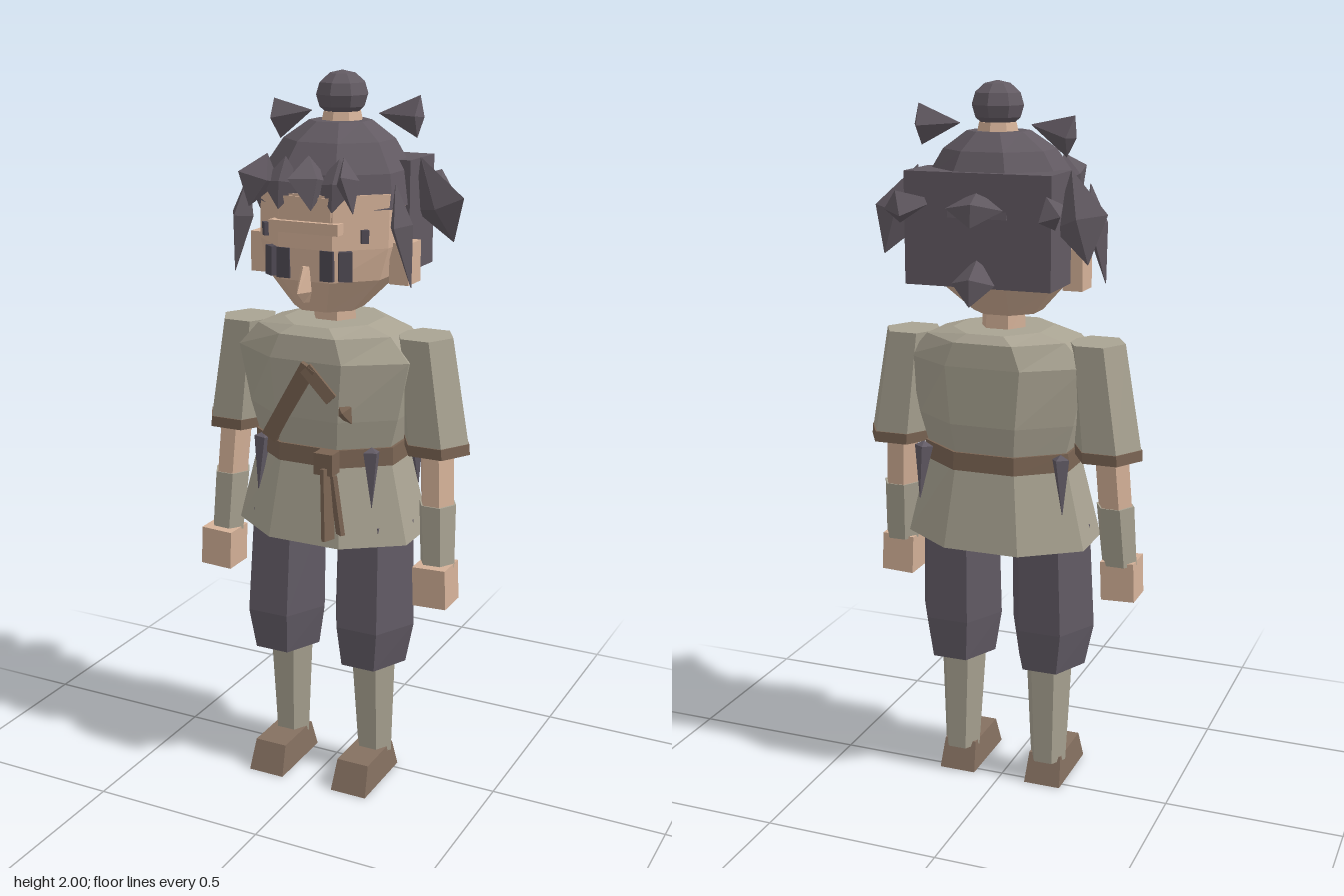
import * as THREE from 'three';

const mat = (name, color) => {
  const m = new THREE.MeshStandardMaterial({ color, flatShading: true });
  m.name = name;
  return m;
};

// Loft through rings of [cx, y, cz, halfX, halfZ]; 'offset' turns the polygon.
function loft(rings, sides, offset) {
  const pos = [], idx = [];
  const n = rings.length;
  for (const [cx, y, cz, rx, rz] of rings)
    for (let i = 0; i < sides; i++) {
      const a = offset + (i / sides) * Math.PI * 2;
      pos.push(cx + Math.sin(a) * rx, y, cz + Math.cos(a) * rz);
    }
  for (const r of [rings[0], rings[n - 1]]) pos.push(r[0], r[1], r[2]);
  for (let i = 0; i < sides; i++) {
    const j = (i + 1) % sides;
    for (let k = 0; k < n - 1; k++) {
      const lo = k * sides, up = lo + sides;
      idx.push(lo + i, lo + j, up + j, lo + i, up + j, up + i);
    }
    idx.push(n * sides, j, i);
    idx.push(n * sides + 1, (n - 1) * sides + i, (n - 1) * sides + j);
  }
  const g = new THREE.BufferGeometry();
  g.setAttribute('position', new THREE.Float32BufferAttribute(pos, 3));
  g.setIndex(idx);
  const flat = g.toNonIndexed();
  flat.computeVertexNormals();
  return flat;
}

export function createModel() {
  const model = new THREE.Group();
  const hair = mat('charcoal hair', 0x625a62);
  const cloth = mat('dark trouser cloth', 0x625b65);
  const linen = mat('grey linen', 0xa9a392);
  const skin = mat('skin', 0xd4b198);
  const leather = mat('brown leather', 0x7a6453);
  const shoeMat = mat('shoe brown', 0x857060);
  const eyeMat = mat('eye dark', 0x504a54);

  const add = (name, geo, material) => {
    const m = new THREE.Mesh(geo, material);
    m.name = name;
    model.add(m);
    return m;
  };
  const hex = (name, rings, m) => add(name, loft(rings, 6, Math.PI / 6), m);
  // Octagon with a flat front; half sizes are measured to the flats.
  const oct = (name, rings, m) => add(name, loft(
    rings.map(([y, cz, hx, hz]) => [0, y, cz, hx / 0.924, hz / 0.924]), 8, Math.PI / 8), m);
  const box = (name, x, y, z, w, h, d, m) => {
    const b = add(name, new THREE.BoxGeometry(w, h, d), m);
    b.position.set(x, y, z);
    return b;
  };
  // Aligns a geometry built along +y from point a towards point b.
  const between = (mesh, a, b) => {
    const va = new THREE.Vector3(...a), dir = new THREE.Vector3(...b).sub(va).normalize();
    mesh.position.copy(va);
    mesh.quaternion.setFromUnitVectors(new THREE.Vector3(0, 1, 0), dir);
  };
  const dist = (a, b) => Math.hypot(b[0] - a[0], b[1] - a[1], b[2] - a[2]);
  // Four-sided tuft, widest at fraction t of the way from a to b.
  const spike = (name, a, b, rx, rz, t, m = hair) => {
    const l = dist(a, b), e = 0.001;
    between(add(name, loft([[0, 0, 0, e, e], [0, l * t, 0, rx, rz], [0, l, 0, e, e]], 4, 0), m), a, b);
  };
  const bar = (name, a, b, w, d, m) => {
    const l = dist(a, b);
    between(add(name, new THREE.BoxGeometry(w, l, d).translate(0, l / 2, 0), m), a, b);
  };

  // Tunic, belt and neck
  oct('tunicSkirt', [[0.75, 0.022, 0.26, 0.187], [1.0, 0.02, 0.2, 0.15]], linen);
  oct('tunicBody', [[0.99, 0.02, 0.195, 0.148], [1.1, 0.02, 0.225, 0.168], [1.26, 0.022, 0.257, 0.172],
    [1.325, 0.018, 0.2, 0.165], [1.347, 0.015, 0.125, 0.14]], linen);
  oct('belt', [[0.97, 0.02, 0.212, 0.162], [1.02, 0.02, 0.21, 0.16]], leather);
  hex('neck', [[0, 1.32, 0.015, 0.065, 0.06], [0, 1.42, 0.015, 0.06, 0.058]], skin);

  // Lapel, belt knot and hanging ties
  bar('longLapel', [-0.12, 1.03, 0.172], [0.015, 1.25, 0.197], 0.045, 0.02, leather);
  bar('shortLapel', [0.005, 1.245, 0.197], [0.08, 1.165, 0.192], 0.035, 0.02, leather);
  spike('lapelEnd', [0.085, 1.16, 0.18], [0.13, 1.1, 0.175], 0.025, 0.02, 0.5, leather);
  box('beltKnot', 0.067, 0.99, 0.2, 0.055, 0.06, 0.045, leather);
  bar('beltTie', [0.075, 0.98, 0.215], [0.085, 0.78, 0.228], 0.04, 0.012, leather);
  bar('beltTie', [0.09, 0.96, 0.21], [0.12, 0.8, 0.222], 0.04, 0.012, leather);

  // Head, nose and brow
  oct('head', [[1.385, 0.05, 0.088, 0.088], [1.475, 0.018, 0.168, 0.17], [1.56, 0.01, 0.19, 0.18],
    [1.7, 0.005, 0.19, 0.18]], skin);
  add('nose', loft([[0, 1.42, 0.188, 0.012, 0.012], [0, 1.45, 0.195, 0.022, 0.04],
    [0, 1.515, 0.188, 0.012, 0.012]], 4, 0), skin);
  box('brow', 0, 1.617, 0.185, 0.2, 0.03, 0.035, skin);
  box('forehead', 0, 1.665, 0.18, 0.15, 0.06, 0.02, skin);

  // Hair cap, back mass and top knot
  oct('hairCap', [[1.66, 0, 0.197, 0.182], [1.75, -0.003, 0.185, 0.17], [1.825, -0.012, 0.14, 0.13],
    [1.872, -0.02, 0.078, 0.078]], hair);
  box('backHair', 0, 1.628, -0.1, 0.405, 0.295, 0.16, hair);
  const tie = add('topKnotTie', new THREE.CylinderGeometry(0.052, 0.058, 0.025, 8), skin);
  tie.position.set(0, 1.882, -0.028);
  const bun = add('topKnot', new THREE.SphereGeometry(0.073, 8, 6).scale(1, 0.85, 1), hair);
  bun.position.set(0, 1.938, -0.028);

  // Fringe
  for (const [x, w, lean] of [[-0.13, 0.08, -0.02], [0.02, 0.072, 0.01], [0.13, 0.095, 0.02]])
    spike('fringe', [x - lean, 1.8, 0.185], [x + lean, 1.665, 0.215], w, 0.03, 0.45);
  for (const x of [-0.075, 0.08])
    spike('fringe', [x, 1.79, 0.15], [x, 1.66, 0.195], 0.06, 0.02, 0.5);

  // Loose tufts behind
  spike('backTuft', [0, 1.73, -0.17], [0, 1.64, -0.225], 0.08, 0.03, 0.5);
  spike('napeTuft', [0, 1.56, -0.17], [0, 1.44, -0.235], 0.06, 0.035, 0.55);

  for (const s of [1, -1]) {
    // Face and ears
    box('eye', s * 0.063, 1.52, 0.188, 0.038, 0.08, 0.012, eyeMat);
    const outer = box('eyeCorner', s * 0.105, 1.52, 0.168, 0.035, 0.078, 0.03, eyeMat);
    outer.rotation.y = s * 0.6;
    const temple = box('templeMark', s * 0.146, 1.595, 0.136, 0.02, 0.035, 0.012, eyeMat);
    temple.rotation.y = s * 0.78;
    box('ear', s * 0.208, 1.515, 0.018, 0.055, 0.11, 0.08, skin);

    // Side locks and tufts
    spike('frontLock', [s * 0.215, 1.73, 0.1], [s * 0.262, 1.465, 0.1], 0.032, 0.05, 0.4);
    spike('sideLock', [s * 0.215, 1.78, -0.06], [s * 0.285, 1.55, -0.13], 0.035, 0.075, 0.55);
    spike('crownTuft', [s * 0.1, 1.89, -0.045], [s * 0.225, s > 0 ? 1.885 : 1.86, -0.055], 0.055, 0.035, 0.88);
    spike('rearTuft', [s * 0.12, 1.7, -0.16], [s * 0.24, 1.68, -0.22], 0.05, 0.045, 0.75);

    // Pointed pieces hanging from the belt
    for (const [x, z, tip] of [[0.165, 0.125, 0.86], [0.2, -0.08, 0.86]])
      spike('beltPoint', [s * x, 1.025, z], [s * (x + 0.01), tip, z * 1.15], 0.026, 0.026, 0.08, cloth);

    // Sleeve, cuff, forearm, wrist wrap and hand
    hex('sleeve', [[s * 0.305, 1.03, 0.01, 0.094, 0.092], [s * 0.268, 1.322, 0.012, 0.08, 0.085]], linen);
    hex('sleeveCuff', [[s * 0.307, 1.005, 0.01, 0.096, 0.096], [s * 0.305, 1.035, 0.01, 0.096, 0.096]], leather);
    hex('forearm', [[s * 0.323, 0.84, 0.035, 0.048, 0.052], [s * 0.312, 1.02, 0.02, 0.048, 0.055]], skin);
    hex('wristWrap', [[s * 0.332, 0.69, 0.05, 0.05, 0.046], [s * 0.322, 0.865, 0.033, 0.054, 0.056]], linen);
    const hand = box('hand', s * 0.335, 0.643, 0.068, 0.096, 0.112, 0.096, skin);
    hand.rotation.z = s * 0.04;

    // Trouser leg, gathered knee, shin wrap and shoe
    hex('trouserLeg', [[s * 0.14, 0.495, 0.045, 0.122, 0.137], [s * 0.135, 0.8, 0.03, 0.115, 0.125]], cloth);
    hex('trouserKnee', [[s * 0.137, 0.375, 0.042, 0.1, 0.122], [s * 0.14, 0.495, 0.045, 0.122, 0.137]], cloth);
    hex('shinWrap', [[s * 0.135, 0.07, 0.025, 0.053, 0.053], [s * 0.132, 0.4, 0.035, 0.07, 0.066]], linen);
    const q = Math.SQRT2;
    add('shoe', loft([[s * 0.133, 0, 0.087, 0.054 * q, 0.113 * q],
      [s * 0.133, 0.085, 0.085, 0.048 * q, 0.083 * q]], 4, Math.PI / 4), shoeMat);
  }
  return model;
}
